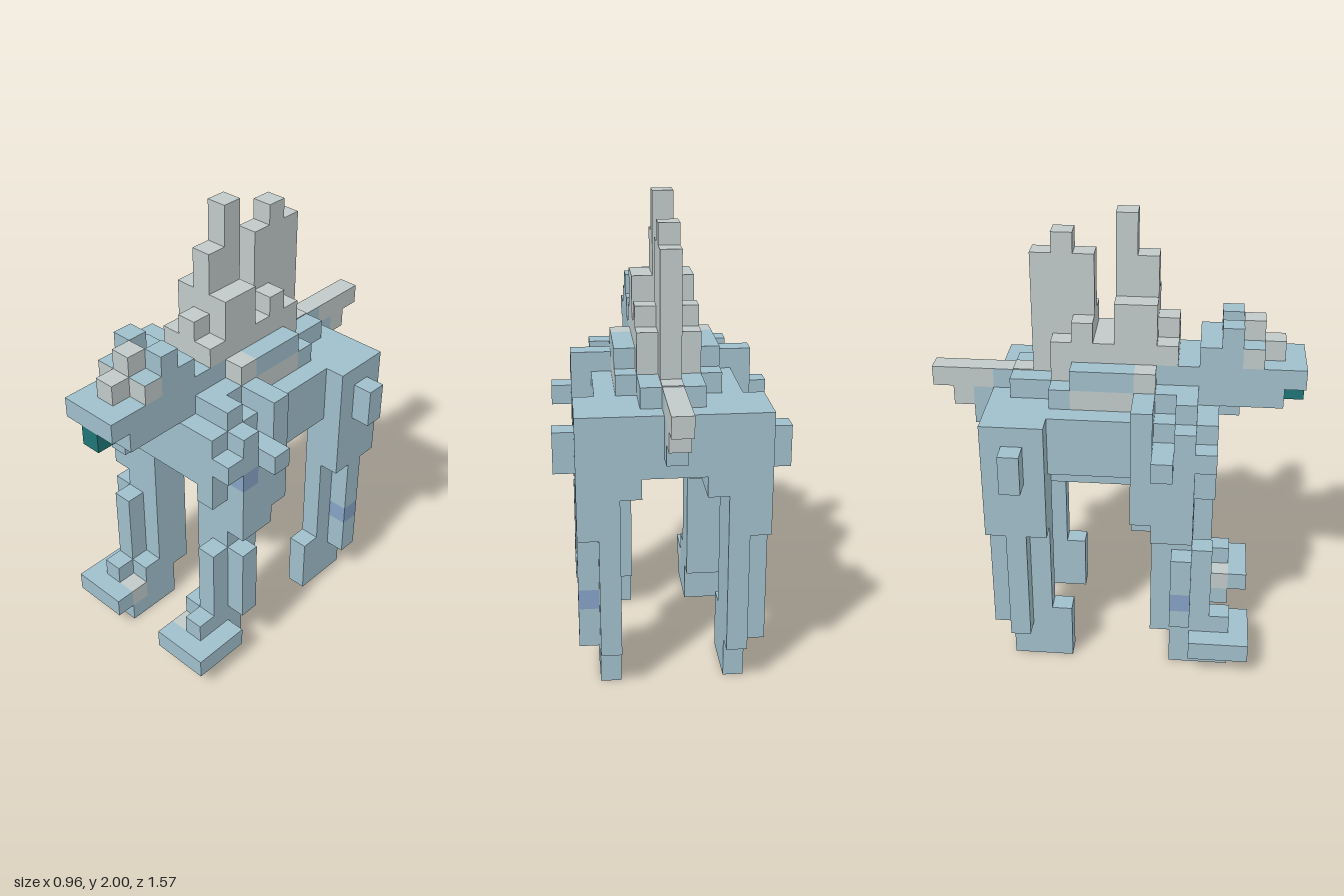
import * as THREE from 'three';

const U = 2 / 23; // one voxel

const material = (name, color) => {
  const m = new THREE.MeshStandardMaterial({ color });
  m.name = name;
  return m;
};

export function createModel() {
  const blue = material('blueHide', 0xa0bfcb);
  const grey = material('greyMane', 0xc0c9c9);
  const teal = material('tealNose', 0x1f7577);
  const accent = material('blueAccent', 0x85a2c6);

  // Six-face material sets: a block with a differently coloured top
  const withTop = (sides, top) => [sides, sides, top, sides, sides, sides];

  const model = new THREE.Group();
  model.name = 'voxelCreature';

  const makeGroup = (name) => {
    const g = new THREE.Group();
    g.name = name;
    model.add(g);
    return g;
  };

  // Block given by its limits in voxels
  const block = (parent, name, mat, [x0, x1], [y0, y1], [z0, z1]) => {
    const geo = new THREE.BoxGeometry((x1 - x0) * U, (y1 - y0) * U, (z1 - z0) * U);
    geo.translate((x0 + x1) / 2 * U, (y0 + y1) / 2 * U, (z0 + z1) / 2 * U);
    const mesh = new THREE.Mesh(geo, mat);
    mesh.name = name;
    parent.add(mesh);
  };
  // Block centred on x = 0
  const mid = (parent, name, mat, half, y, z) => block(parent, name, mat, [-half, half], y, z);
  // Block on one side: s = 1 left, s = -1 right
  const side = (parent, name, mat, s, [a, b], y, z) =>
    block(parent, name, mat, s > 0 ? [a, b] : [-b, -a], y, z);

  // Trunk
  const body = makeGroup('body');
  mid(body, 'barrel', blue, 3.5, [11, 14], [-3, 1]);
  mid(body, 'belly', blue, 2.5, [10, 11], [-3, 1]);
  mid(body, 'rearBack', blue, 2.5, [14, 15], [-3, -2]);
  mid(body, 'saddle', grey, 2.5, [14, 15], [-2, 1]);
  mid(body, 'chest', blue, 1.5, [11, 15], [1, 4]);
  mid(body, 'chestFront', blue, 1.5, [11, 14], [4, 5]);
  mid(body, 'hipBridge', blue, 1.5, [11, 15], [-5, -3]);
  mid(body, 'rump', blue, 1.5, [11, 14], [-6, -5]);

  // Head
  const head = makeGroup('head');
  mid(head, 'neck', blue, 1.5, [14, 16], [3, 6]);
  mid(head, 'neckTop', blue, 1.5, [15, 16], [2, 3]);
  mid(head, 'muzzle', blue, 1.5, [15, 16], [6, 9]);
  mid(head, 'jaw', blue, 1.5, [14, 15], [6, 8]);
  mid(head, 'nose', teal, 0.5, [14, 15], [8, 9]);
  mid(head, 'throat', blue, 0.5, [13, 14], [5, 6]);
  mid(head, 'headTop', blue, 1.5, [16, 17], [4, 5]);
  mid(head, 'brow', withTop(grey, blue), 1.5, [16, 17], [6, 7]);
  mid(head, 'crown', grey, 0.5, [16, 17], [5, 6]);
  mid(head, 'crestFront', grey, 0.5, [16, 17], [7, 8]);
  mid(head, 'crestTop', grey, 0.5, [17, 18], [6, 7]);

  // Mane: a stepped ridge [z, height] and two tall fins
  const mane = makeGroup('mane');
  for (const [z, h] of [[2, 17], [1, 19], [0, 19], [-1, 17], [-2, 18], [-3, 17]])
    mid(mane, 'ridge', grey, 1.5, [z === 2 ? 16 : 15, h], [z, z + 1]);
  for (const [z, h] of [[2, 18], [1, 21], [0, 23], [-2, 21], [-3, 22], [-4, 21]])
    mid(mane, 'fin', grey, 0.5, [z === 2 ? 16 : 15, h], [z, z + 1]);

  // Tail, with a strip along the rump
  const tail = makeGroup('tail');
  mid(tail, 'tailStrip', grey, 0.5, [15, 15.05], [-5, -4]);
  mid(tail, 'tailRoot', withTop(blue, grey), 0.5, [14, 15], [-6, -5]);
  mid(tail, 'tailTop', grey, 0.5, [14, 15], [-9, -6]);
  mid(tail, 'tailUnder', grey, 0.5, [13, 14], [-8, -7]);
  mid(tail, 'tailBase', blue, 0.5, [12, 14], [-7, -6]);

  for (const s of [1, -1]) {
    const label = s > 0 ? 'left' : 'right';
    const outer = [3.5, 4.5], leg = [1.5, 3.5], slim = [2.5, 3.5];

    // Ears and saddle edge
    side(head, label + 'Ear', blue, s, [0.5, 1.5], [16, 18], [5, 6]);
    side(body, label + 'SaddleEdge', blue, s, [1.5, 2.5], [15, 16], [-2, 1]);
    side(body, label + 'SaddleFront', grey, s, [1.5, 2.5], [15, 16], [1, 2]);

    // Shoulder, stepped around the knob
    const front = makeGroup(label + 'FrontLeg');
    side(front, 'shoulder', blue, s, leg, [10, 14], [1, 4]);
    side(front, 'shoulderTopFront', blue, s, leg, [14, 15], [3, 4]);
    side(front, 'shoulderTopMiddle', blue, s, [1.5, 2.5], [14, 15], [2, 3]);
    side(front, 'shoulderTopRear', blue, s, [1.5, 4.5], [14, 15], [1, 2]);
    side(front, 'shoulderOuterFront', blue, s, outer, [12, 13], [4, 5]);
    side(front, 'shoulderOuter', blue, s, outer, [12, 14], [3, 4]);
    side(front, 'shoulderMiddle', blue, s, outer, [8, 13], [2, 3]);
    side(front, 'shoulderRear', blue, s, outer, [9, 14], [1, 2]);
    side(front, 'shoulderSpot', s > 0 ? accent : blue, s, outer, [11, 12], [3, 4]);
    side(front, 'shoulderEdge', blue, s, outer, [8, 11], [3, 4]);
    side(front, 'shoulderKnob', blue, s, [4.5, 5.5], [12, 13], [2, 3]);
    side(front, 'knobDrop', blue, s, [1.5, 2.5], [8, 10], [1, 2]);
    side(front, 'breast', blue, s, leg, [11, 14], [4, 5]);
    side(front, 'breastLower', blue, s, slim, [10, 11], [4, 5]);

    // Front leg and foot
    side(front, 'upperLeg', blue, s, leg, [8, 10], [2, 4]);
    side(front, 'upperLegRear', blue, s, slim, [8, 10], [1, 2]);
    side(front, 'lowerLeg', blue, s, leg, [2, 8], [2, 4]);
    side(front, 'shin', blue, s, slim, [3, 7], [4, 5]);
    side(front, 'calfLow', blue, s, outer, [3, 4], [3, 4]);
    side(front, 'calfSpot', s < 0 ? accent : blue, s, outer, [4, 5], [3, 4]);
    side(front, 'calfHigh', blue, s, outer, [5, 7], [3, 4]);
    side(front, 'ankle', blue, s, leg, [2, 3], [4, 5]);
    side(front, 'instep', blue, s, slim, [2, 3], [5, 6]);
    side(front, 'footRear', blue, s, [1.5, 4.5], [1, 2], [4, 5]);
    side(front, 'footMiddle', blue, s, [2.5, 4.5], [1, 2], [5, 6]);
    side(front, 'footSpot', grey, s, [1.5, 2.5], [1, 2], [5, 6]);
    side(front, 'toes', blue, s, [1.5, 4.5], [1, 2], [6, 7]);
    side(front, 'heel', blue, s, leg, [1, 2], [3, 4]);
    side(front, 'sole', blue, s, leg, [0, 1], [3, 6]);

    // Hip
    const hind = makeGroup(label + 'HindLeg');
    side(hind, 'hip', blue, s, [1.5, 4.5], [10, 14], [-6, -3]);
    side(hind, 'thigh', blue, s, [2.5, 4.5], [8, 10], [-6, -3]);
    side(hind, 'hipKnob', blue, s, [4.5, 5.5], [11, 13], [-5, -4]);

    // Hind leg and foot
    side(hind, 'hindShank', blue, s, slim, [3, 8], [-5, -3]);
    side(hind, 'hindCalf', blue, s, slim, [2, 8], [-6, -5]);
    side(hind, 'outerLow', blue, s, outer, [2, 4], [-5, -4]);
    side(hind, 'outerSpot', s > 0 ? accent : blue, s, outer, [4, 5], [-5, -4]);
    side(hind, 'outerHigh', blue, s, outer, [5, 8], [-5, -4]);
    side(hind, 'hindFoot', blue, s, slim, [0, 3], [-5, -2]);
  }
  return model;
}
